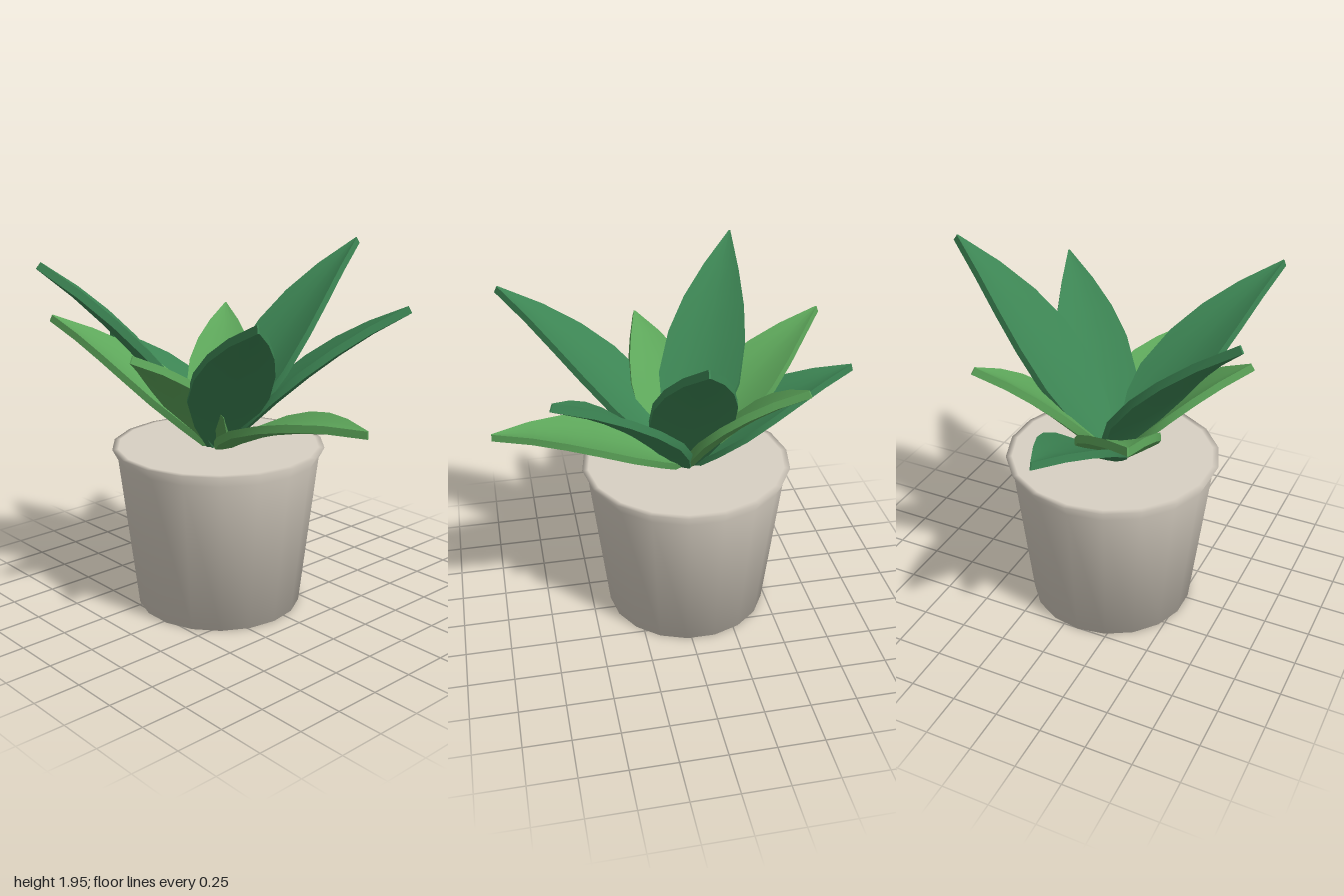
import * as THREE from 'three';

const CX = -0.085, CZ = -0.055; // pot axis

const mat = (name, color) => {
  const m = new THREE.MeshStandardMaterial({ color });
  m.name = name;
  return m;
};

// half width of a leaf at evenly listed stations along its length
const STATIONS = [0, 0.14, 0.3, 0.47, 0.63, 0.8, 1];
const HALF_WIDTH = [0.06, 0.16, 0.22, 0.21, 0.165, 0.095, 0.004];

// a thin slab bent along an arching path, pointed at the tip and slightly cupped
function leafGeometry([tx, ty, tz], width, bulge) {
  const tip = new THREE.Vector3(tx, ty, tz);
  const out = new THREE.Vector3(tx - CX, 0, tz - CZ).normalize();
  const base = new THREE.Vector3(CX, 0.88, CZ).addScaledVector(out, 0.03);
  const control = base.clone().add(tip).multiplyScalar(0.5);
  control.y += bulge * 2;
  const path = new THREE.QuadraticBezierCurve3(base, control, tip);
  const side = new THREE.Vector3(0, 1, 0).cross(out).normalize();

  const rows = STATIONS.length - 1;
  const geo = new THREE.BoxGeometry(1, 1, 1, 4, 1, rows);
  const pos = geo.attributes.position;
  for (let i = 0; i < pos.count; i++) {
    const s = pos.getX(i) * 2;
    const row = Math.round((pos.getZ(i) + 0.5) * rows);
    const t = STATIONS[row], hw = HALF_WIDTH[row] * width;
    const normal = path.getTangent(t).cross(side);
    const lift = pos.getY(i) * 0.04 + s * s * hw * 0.18;
    const p = path.getPoint(t).addScaledVector(side, s * hw).addScaledVector(normal, lift);
    pos.setXYZ(i, p.x, p.y, p.z);
  }
  geo.computeVertexNormals();
  return geo;
}

export function createModel() {
  const model = new THREE.Group();
  model.name = 'pottedPlant';
  const clay = mat('pale clay', 0xd8d0c3);
  const deepGreen = mat('deep green', 0x3c8453);
  const freshGreen = mat('fresh green', 0x5da65a);

  // tapered pot with a flared lip and a closed top
  const profile = [
    [0, 0], [0.45, 0], [0.547, 0.84], [0.578, 0.9], [0.545, 0.902], [0, 0.9],
  ].map(([r, y]) => new THREE.Vector2(r, y));
  const pot = new THREE.Mesh(new THREE.LatheGeometry(profile, 18), clay);
  pot.name = 'pot';
  pot.position.set(CX, 0, CZ);
  model.add(pot);

  // leaves: tip, relative width, upward arch, colour
  const leaves = [
    [[0.89, 1.93, 0.045], 1, 0.09, deepGreen],
    [[-0.9, 1.9, -0.48], 1.04, 0.08, deepGreen],
    [[-0.68, 1.75, 0.885], 0.96, 0.09, deepGreen],
    [[0.56, 1.66, 0.71], 0.95, 0.07, deepGreen],
    [[-0.11, 1.37, -0.99], 0.92, 0.06, deepGreen],
    [[-0.065, 1.175, 0.99], 0.96, 0.07, freshGreen],
    [[-0.78, 1.5, 0.11], 0.88, 0.06, freshGreen],
    [[-0.56, 1.53, -0.92], 0.97, 0.06, freshGreen],
    [[0.435, 1.53, -0.575], 0.86, 0.07, freshGreen],
  ];
  const foliage = new THREE.Group();
  foliage.name = 'foliage';
  leaves.forEach(([tip, width, bulge, material], i) => {
    const leaf = new THREE.Mesh(leafGeometry(tip, width, bulge), material);
    leaf.name = `leaf${i + 1}`;
    foliage.add(leaf);
  });
  model.add(foliage);
  return model;
}
